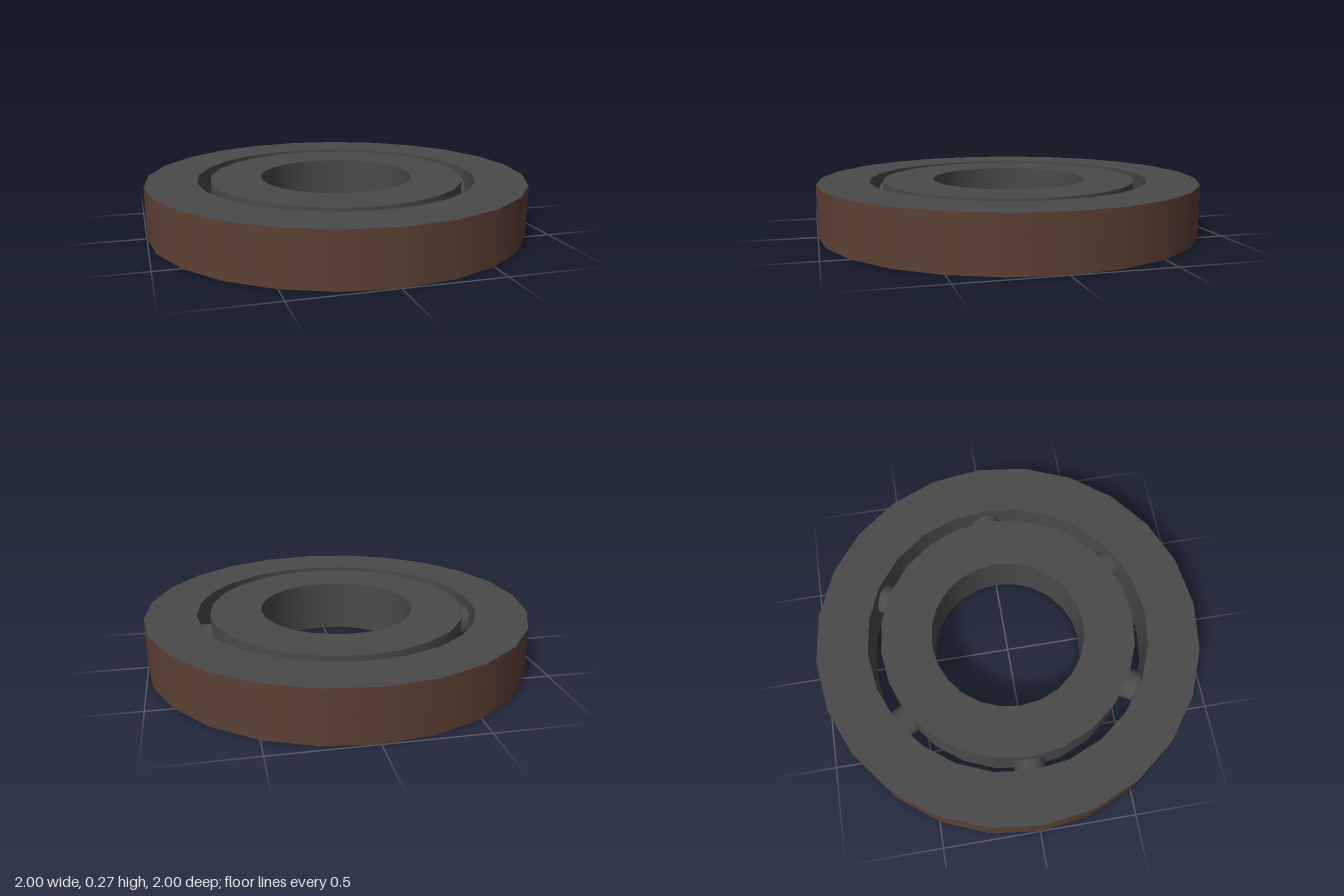
import * as THREE from 'three';

const HEIGHT = 0.27;
const SIDES = 24;

// One surface of revolution between two profile points (r, y)
function band(name, r0, y0, r1, y1, material) {
  const profile = [new THREE.Vector2(r0, y0), new THREE.Vector2(r1, y1)];
  const mesh = new THREE.Mesh(new THREE.LatheGeometry(profile, SIDES), material);
  mesh.name = name;
  return mesh;
}

// Square-section ring with sharp rims and smooth walls
function race(name, outer, inner, wallMaterial, material) {
  const group = new THREE.Group();
  group.name = name;
  group.add(
    band('outerWall', outer, 0, outer, HEIGHT, wallMaterial),
    band('topFace', outer, HEIGHT, inner, HEIGHT, material),
    band('innerWall', inner, HEIGHT, inner, 0, material),
    band('bottomFace', inner, 0, outer, 0, material)
  );
  return group;
}

export function createModel() {
  const steel = new THREE.MeshStandardMaterial({ color: 0x4a4a4a });
  steel.name = 'dark steel';
  const brown = new THREE.MeshStandardMaterial({ color: 0x5c4033 });
  brown.name = 'brown rim';

  const model = new THREE.Group();
  model.name = 'rollerBearing';
  model.add(race('outerRace', 1, 0.733, brown, steel));
  model.add(race('innerRace', 0.665, 0.4, steel, steel));

  // Six short rollers with radial axes bridging the gap
  const rollerGeometry = new THREE.CylinderGeometry(0.08, 0.08, 0.12, 24);
  rollerGeometry.rotateZ(Math.PI / 2);
  rollerGeometry.translate(0.697, HEIGHT / 2, 0);
  for (let i = 0; i < 6; i++) {
    const roller = new THREE.Mesh(rollerGeometry, steel);
    roller.name = 'roller' + (i + 1);
    roller.rotation.y = (i * Math.PI) / 3;
    model.add(roller);
  }
  return model;
}
